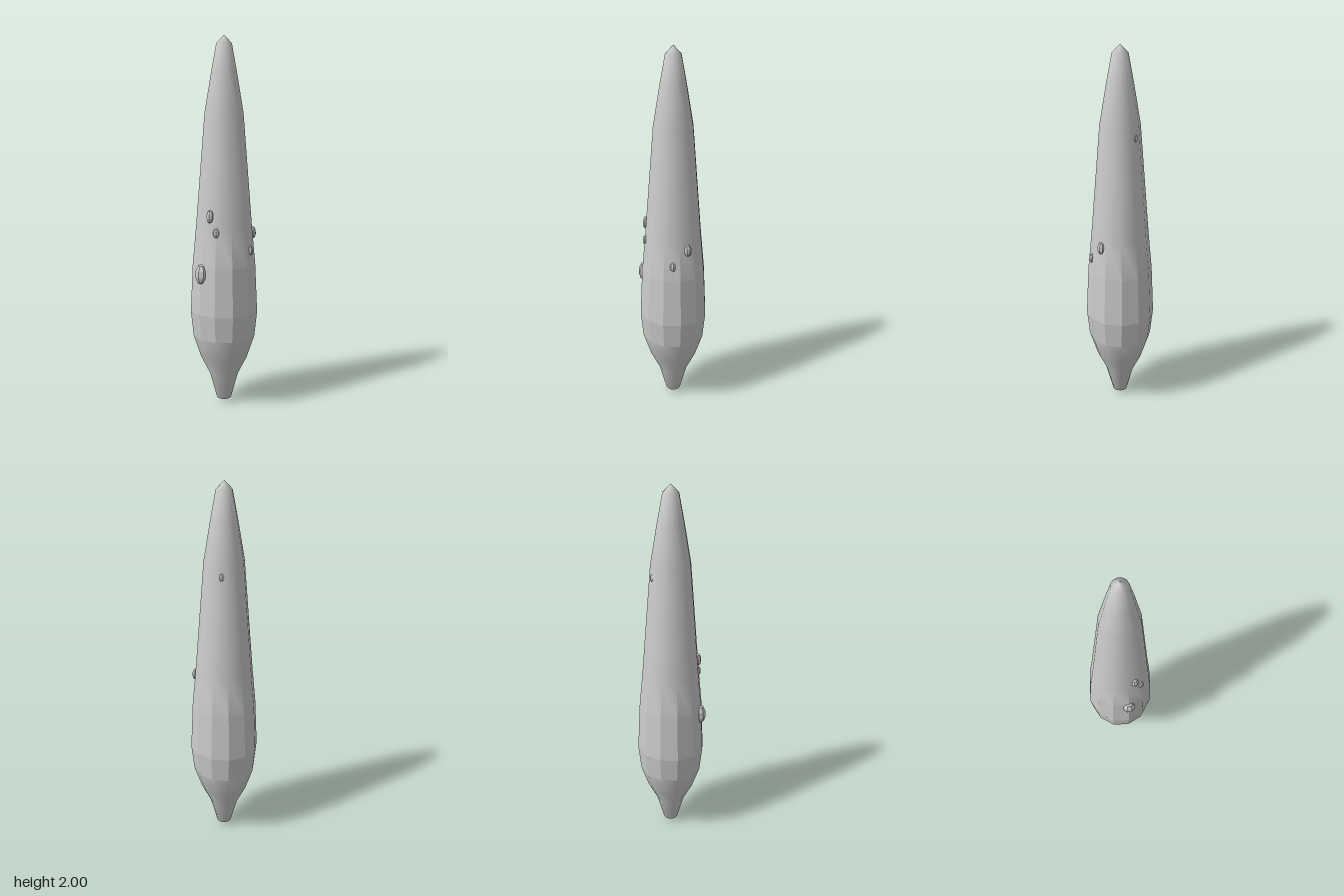
import * as THREE from 'three';

const material = new THREE.MeshStandardMaterial({ color: 0xcccccc });
const facetMaterial = new THREE.MeshStandardMaterial({ color: 0xcccccc, flatShading: true });

// Body outline, [radius, height]
const PROFILE = [
  [0, 0], [0.04, 0.02], [0.08, 0.165], [0.13, 0.265], [0.172, 0.39], [0.187, 0.53],
  [0.175, 0.79], [0.155, 1.0], [0.106, 1.6], [0.07, 1.81], [0.042, 1.957], [0, 2],
];

// Twelve-sided spindle: rounded ends, flat facets around the belly
function makeBody() {
  const points = PROFILE.map(([r, y]) => new THREE.Vector2(r, y));
  const geometry = new THREE.LatheGeometry(points, 12).toNonIndexed();
  const pos = geometry.attributes.position;
  const normal = geometry.attributes.normal;
  const tri = new THREE.Triangle();
  const mid = new THREE.Vector3();
  const n = new THREE.Vector3();
  for (let i = 0; i < pos.count; i += 3) {
    tri.setFromAttributeAndIndices(pos, i, i + 1, i + 2);
    tri.getMidpoint(mid);
    if (mid.y < 0.39 || mid.y > 1.0) continue;
    tri.getNormal(n);
    // facets fade out into the smooth upper part
    for (let k = i; k < i + 3; k++) {
      if (pos.getY(k) < 0.95) normal.setXYZ(k, n.x, n.y, n.z);
    }
  }
  const body = new THREE.Mesh(geometry, material);
  body.name = 'body';
  return body;
}

// Small faceted bumps half sunk in the skin: [x, y, z, width, height, depth]
const BUMPS = [
  [-0.085, 0.755, 0.15, 0.07, 0.11, 0.056],
  [-0.037, 1.065, 0.143, 0.042, 0.07, 0.034],
  [0, 0.98, 0.155, 0.034, 0.052, 0.028],
  [0.15, 0.96, -0.045, 0.042, 0.068, 0.034],
  [0.157, 0.875, 0.038, 0.034, 0.052, 0.028],
  [-0.027, 1.54, -0.101, 0.026, 0.042, 0.022],
];

function makeBump([x, y, z, width, height, depth], index) {
  const bump = new THREE.Mesh(new THREE.SphereGeometry(0.5, 7, 5), facetMaterial);
  bump.name = `bump${index + 1}`;
  bump.scale.set(width, height, depth);
  bump.position.set(x, y, z);
  // face outwards and lean with the taper of the body
  bump.rotation.set(-0.07, Math.atan2(x, z), 0, 'YXZ');
  return bump;
}

export function createModel() {
  const group = new THREE.Group();
  group.name = 'spindle';
  group.add(makeBody());
  BUMPS.forEach((spec, i) => group.add(makeBump(spec, i)));
  return group;
}
